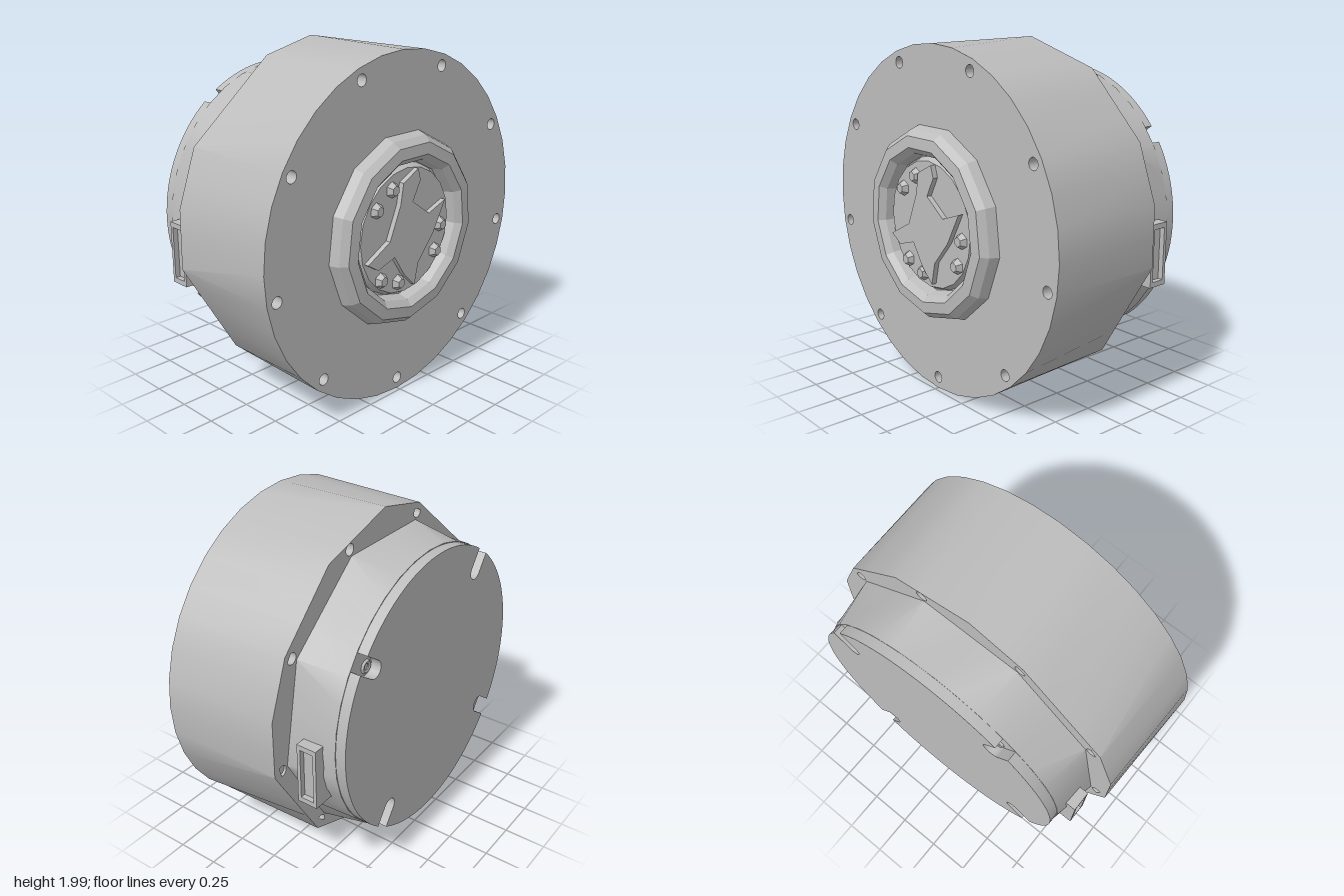
import * as THREE from 'three';
import { toCreasedNormals } from 'three/addons/utils/BufferGeometryUtils.js';

const FRONT = 0.475, SHELF = -0.235, BACK = -0.575, SLOT_FLOOR = -0.515, PLUG = 0.515;
const rad = THREE.MathUtils.degToRad;

// Corners [degrees, radius] of the coarse rear edge of the drum and of the cap's base
const drumRear = [
  [-90, 0.99], [-50, 0.975], [-10, 0.985], [10, 0.985], [30, 0.985], [60, 0.985], [90, 1.0],
  [110, 0.98], [150, 0.985], [170, 0.98], [190, 0.985], [230, 0.975], [270, 0.99],
];
const capBase = Array.from({ length: 10 }, (_, i) => [-90 + 40 * i, 0.882]);

// Radius of a polygon's straight edges at a given angle
function radiusAt(deg, corners) {
  const t = THREE.MathUtils.euclideanModulo(deg + 90, 360) - 90;
  const i = corners.findIndex(([d]) => d > t);
  const [[a, ra], [b, rb]] = [corners[i - 1], corners[i]];
  return ra * rb * Math.sin(rad(b - a)) / (ra * Math.sin(rad(t - a)) + rb * Math.sin(rad(b - t)));
}

// Pull the rim vertices at depth z onto the polygon
function reshapeRim(geometry, z, minRadius, corners) {
  const p = geometry.attributes.position;
  for (let i = 0; i < p.count; i++) {
    const x = p.getX(i), y = p.getY(i), r = Math.hypot(x, y);
    if (Math.abs(p.getZ(i) - z) > 0.001 || r < minRadius) continue;
    const k = radiusAt(THREE.MathUtils.radToDeg(Math.atan2(y, x)), corners) / r;
    p.setXY(i, x * k, y * k);
  }
  return geometry;
}

const points = (list) => list.map(([x, y]) => new THREE.Vector2(x, y));

export function createModel() {
  const model = new THREE.Group();
  model.name = 'roundHousing';
  const body = new THREE.Group(); // axis of the housing
  body.name = 'body';
  body.position.y = 0.994;
  model.add(body);

  const grey = new THREE.MeshStandardMaterial({ color: 0xbc_bc_bc });
  grey.name = 'grey';

  const add = (name, geometry, x = 0, y = 0, z = 0, crease = 0.5) => {
    const mesh = new THREE.Mesh(toCreasedNormals(geometry, crease), grey);
    mesh.name = name;
    mesh.position.set(x, y, z);
    body.add(mesh);
    return mesh;
  };
  const extrude = (shape, depth) =>
    new THREE.ExtrudeGeometry(shape, { depth, bevelEnabled: false, curveSegments: 12 });
  const disc = (rFront, rBack, length, sides) =>
    new THREE.CylinderGeometry(rFront, rBack, length, sides).rotateX(Math.PI / 2);

  // Main drum with nine bolt holes, round in front and coarse behind
  const drum = new THREE.Shape(points(Array.from({ length: 36 }, (_, i) =>
    [0.992 * Math.cos(rad(i * 10)), 0.992 * Math.sin(rad(i * 10))])));
  const blind = [2, 6, 7];
  for (let i = 0; i < 9; i++) {
    const a = rad(-90 + i * 40);
    const x = 0.925 * Math.cos(a), y = 0.925 * Math.sin(a);
    const hole = new THREE.Path();
    hole.absarc(x, y, 0.033, 0, Math.PI * 2, true);
    drum.holes.push(hole);
    // Three holes are closed at the rear
    if (blind.includes(i)) add('holePlug', disc(0.034, 0.034, 0.03, 12), x, y, SHELF + 0.03);
  }
  add('drum', reshapeRim(extrude(drum, FRONT - SHELF), 0, 0.97, drumRear), 0, 0, SHELF);

  // Rear cap, from a nine-sided base to a round end
  const capLength = SHELF - SLOT_FLOOR;
  add('rearCap', reshapeRim(disc(0.88, 0.828, capLength, 36), capLength / 2, 0.1, capBase),
    0, 0, (SHELF + SLOT_FLOOR) / 2);

  // Rear plate with four radial screw slots
  const R = 0.822, half = 0.05, inner = 0.7, d = Math.asin(half / R);
  const plate = new THREE.Shape();
  for (let i = 0; i < 4; i++) {
    const a = rad(35.5 + 90 * i);
    const cx = inner * Math.cos(a), cy = inner * Math.sin(a);
    const x = R * Math.cos(a - d), y = R * Math.sin(a - d);
    if (i) plate.lineTo(x, y); else plate.moveTo(x, y);
    plate.absarc(cx, cy, half, a - Math.PI / 2, a + Math.PI / 2, true);
    plate.absarc(0, 0, R, a + d, a + Math.PI / 2 - d, false);
    add('slotScrew', new THREE.TorusGeometry(0.028, 0.012, 5, 10), cx, cy, SLOT_FLOOR);
  }
  add('rearPlate', extrude(plate, SLOT_FLOOR - BACK), 0, 0, BACK);

  // Side sockets: an open frame with a sunken floor
  const frame = new THREE.Shape(points([[-0.06, -0.18], [0.06, -0.18], [0.06, 0.18], [-0.06, 0.18]]));
  frame.holes.push(new THREE.Path(points([[-0.04, -0.15], [-0.04, 0.15], [0.04, 0.15], [0.04, -0.15]])));
  for (const side of [-1, 1]) {
    add('socketFrame', extrude(frame, 0.14), side * 0.75, -0.145, -0.38).rotation.y = side * Math.PI / 2;
    add('socketFloor', new THREE.BoxGeometry(0.1, 0.32, 0.09), side * 0.81, -0.145, -0.38);
  }

  // Faceted front collar with a groove inside it
  const collar = points([
    [0.557, FRONT], [0.54, 0.53], [0.505, 0.568], [0.44, 0.573], [0.405, 0.54], [0.39, FRONT],
  ]);
  add('frontCollar', new THREE.LatheGeometry(collar, 13).rotateX(Math.PI / 2), 0, 0, 0, 0.1);

  // Raised plug in the middle of the collar
  add('centrePlug', disc(0.36, 0.38, PLUG - FRONT, 20), 0, 0, (PLUG + FRONT) / 2);

  // Uneven three-armed spider on the plug
  const spider = new THREE.Shape(points([
    [0.06, 0.35], [-0.06, 0.29], [-0.08, 0.17], [-0.16, -0.02], [-0.33, -0.11], [-0.25, -0.16],
    [-0.12, -0.12], [-0.04, -0.24], [0.05, -0.33], [0.08, -0.2], [0.2, -0.06], [0.3, 0.12],
    [0.16, 0.07], [0.02, 0.17], [0.08, 0.28],
  ]));
  add('spider', extrude(spider, 0.032), 0, 0, PLUG - 0.002);

  // Small faceted bolts on the plug
  for (const [x, y] of [[0.29, -0.03], [0.25, -0.18], [-0.06, -0.29], [-0.24, 0.17], [-0.12, 0.26], [-0.2, -0.24]]) {
    add('plugBolt', disc(0.028, 0.048, 0.035, 6), x, y, PLUG + 0.015, 0.1);
  }
  return model;
}
